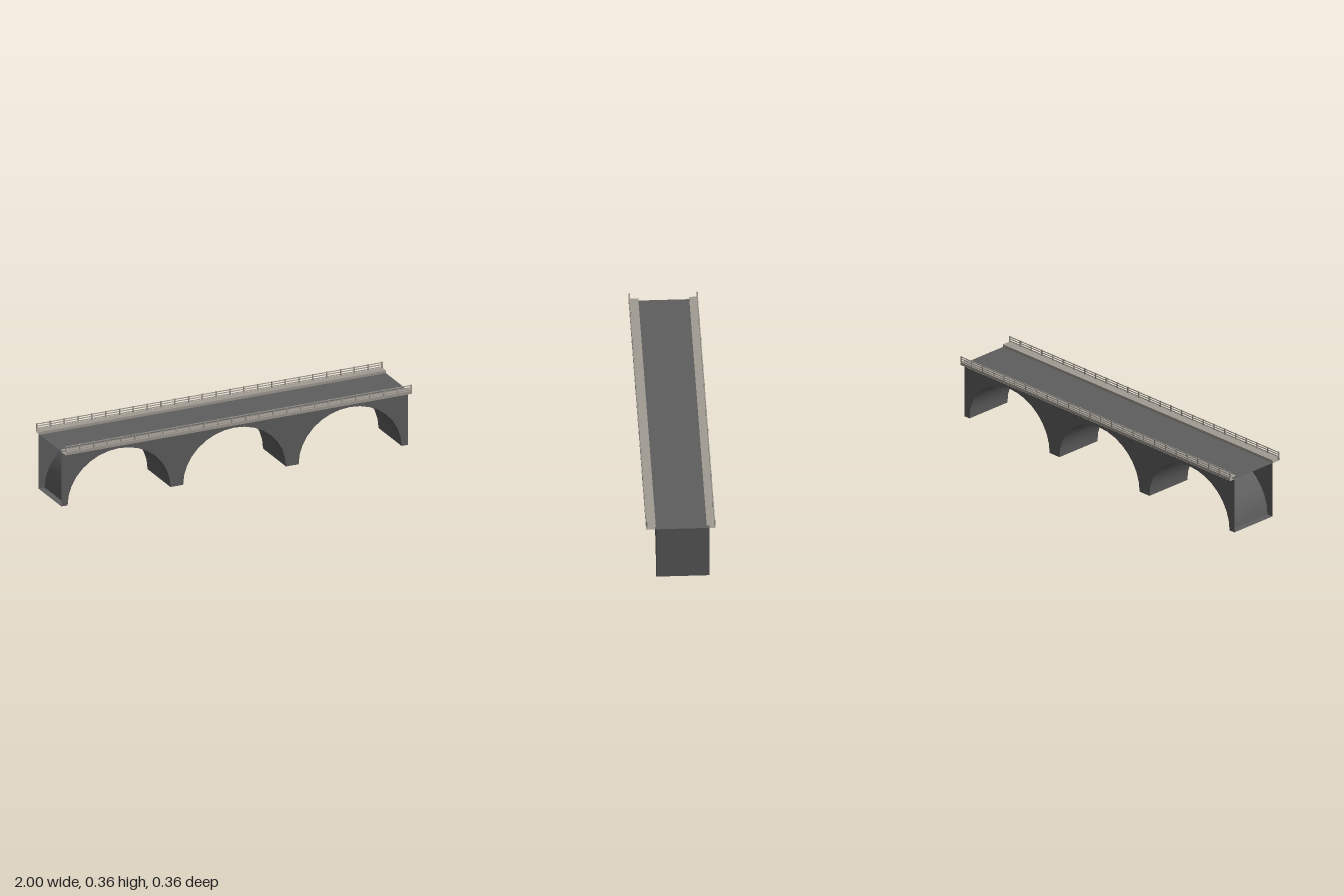
import * as THREE from 'three';

const mat = (name, color) => {
  const m = new THREE.MeshStandardMaterial({ color, side: THREE.DoubleSide });
  m.name = name;
  return m;
};

const FRONT = 0.128, BACK = -0.15, DECK = 0.307;
const ARCH_W = 0.297, ARCH_H = 0.27, STEPS = 16;
const CENTRES = [-0.667, 0, 0.667];

// point on an arch, t from 0 (left foot) to 1 (right foot)
const archPoint = (cx, t) => {
  const a = Math.PI * (1 - t);
  return [cx + ARCH_W * Math.cos(a), ARCH_H * Math.sin(a)];
};

export function createModel() {
  const bridge = new THREE.Group();
  bridge.name = 'archBridge';
  const stone = mat('darkStone', 0x5e5e5e);
  const concrete = mat('paleConcrete', 0xa09b92);

  const add = (name, geo, material, x = 0, y = 0, z = 0, parent = bridge) => {
    const mesh = new THREE.Mesh(geo, material);
    mesh.name = name;
    mesh.position.set(x, y, z);
    parent.add(mesh);
    return mesh;
  };

  // side walls with three arch cut-outs
  const outline = new THREE.Shape();
  outline.moveTo(-1, DECK);
  outline.lineTo(-1, 0);
  for (const cx of CENTRES)
    for (let i = 0; i <= STEPS; i++) outline.lineTo(...archPoint(cx, i / STEPS));
  outline.lineTo(1, 0);
  outline.lineTo(1, DECK);
  add('frontWall', new THREE.ShapeGeometry(outline), stone, 0, 0, FRONT);
  const backGeo = new THREE.ShapeGeometry(outline).scale(-1, 1, 1).rotateY(Math.PI);
  // the mirrored outline is wound the other way, so turn its faces round
  const idx = backGeo.index.array;
  for (let i = 0; i < idx.length; i += 3) [idx[i], idx[i + 1]] = [idx[i + 1], idx[i]];
  backGeo.computeVertexNormals();
  add('backWall', backGeo, stone, 0, 0, BACK);

  // smooth vaults: a plane bent along each arch
  for (const cx of CENTRES) {
    const vault = new THREE.PlaneGeometry(1, 1, STEPS, 1);
    const p = vault.attributes.position;
    for (let i = 0; i < p.count; i++) {
      const [x, y] = archPoint(cx, p.getX(i) + 0.5);
      p.setXYZ(i, x, y, p.getY(i) > 0 ? FRONT : BACK);
    }
    vault.computeVertexNormals();
    add('archVault', vault, stone);
  }

  // pier feet
  const midZ = (FRONT + BACK) / 2, depth = FRONT - BACK;
  const feet = [[-1, -0.964], [-0.37, -0.297], [0.297, 0.37], [0.964, 1]];
  for (const [a, b] of feet)
    add('pierFoot', new THREE.PlaneGeometry(b - a, depth).rotateX(Math.PI / 2), stone, (a + b) / 2, 0, midZ);

  // closed right end; the other end stays open to join another span
  add('endWall', new THREE.PlaneGeometry(depth, DECK).rotateY(Math.PI / 2), stone, 1, DECK / 2, midZ);

  // road deck
  add('roadDeck', new THREE.PlaneGeometry(2, 0.285).rotateX(-Math.PI / 2), stone, 0, DECK, -0.0075);

  // open-ended kerb ledges and railings on both sides
  const TOP = 0.322;
  for (const [side, inner] of [[1, 0.13], [-1, 0.135]]) {
    const group = new THREE.Group();
    group.name = side > 0 ? 'frontParapet' : 'backParapet';
    bridge.add(group);
    const outer = 0.181, w = outer - inner, mid = side * (inner + outer) / 2, h = TOP - DECK;
    const face = (rot) => new THREE.PlaneGeometry(2, h).rotateY(rot);
    const out = side > 0 ? 0 : Math.PI;
    add('ledgeTop', new THREE.PlaneGeometry(2, w).rotateX(-Math.PI / 2), concrete, 0, TOP, mid, group);
    add('ledgeUnderside', new THREE.PlaneGeometry(2, w).rotateX(Math.PI / 2), concrete, 0, DECK - 0.001, mid, group);
    add('ledgeOuterFace', face(out), concrete, 0, DECK + h / 2, side * outer, group);
    add('ledgeInnerFace', face(out + Math.PI), concrete, 0, DECK + h / 2, side * inner, group);

    // railing bars and posts
    const railZ = side * 0.177;
    for (const y of [0.328, 0.34, 0.352])
      add('railBar', new THREE.BoxGeometry(2, 0.004, 0.004), concrete, 0, y, railZ, group);
    const count = 26;
    for (let i = 0; i < count; i++)
      add('railPost', new THREE.BoxGeometry(0.006, 0.034, 0.006), concrete,
        -0.997 + (1.994 * i) / (count - 1), 0.339, railZ, group);
  }
  return bridge;
}
